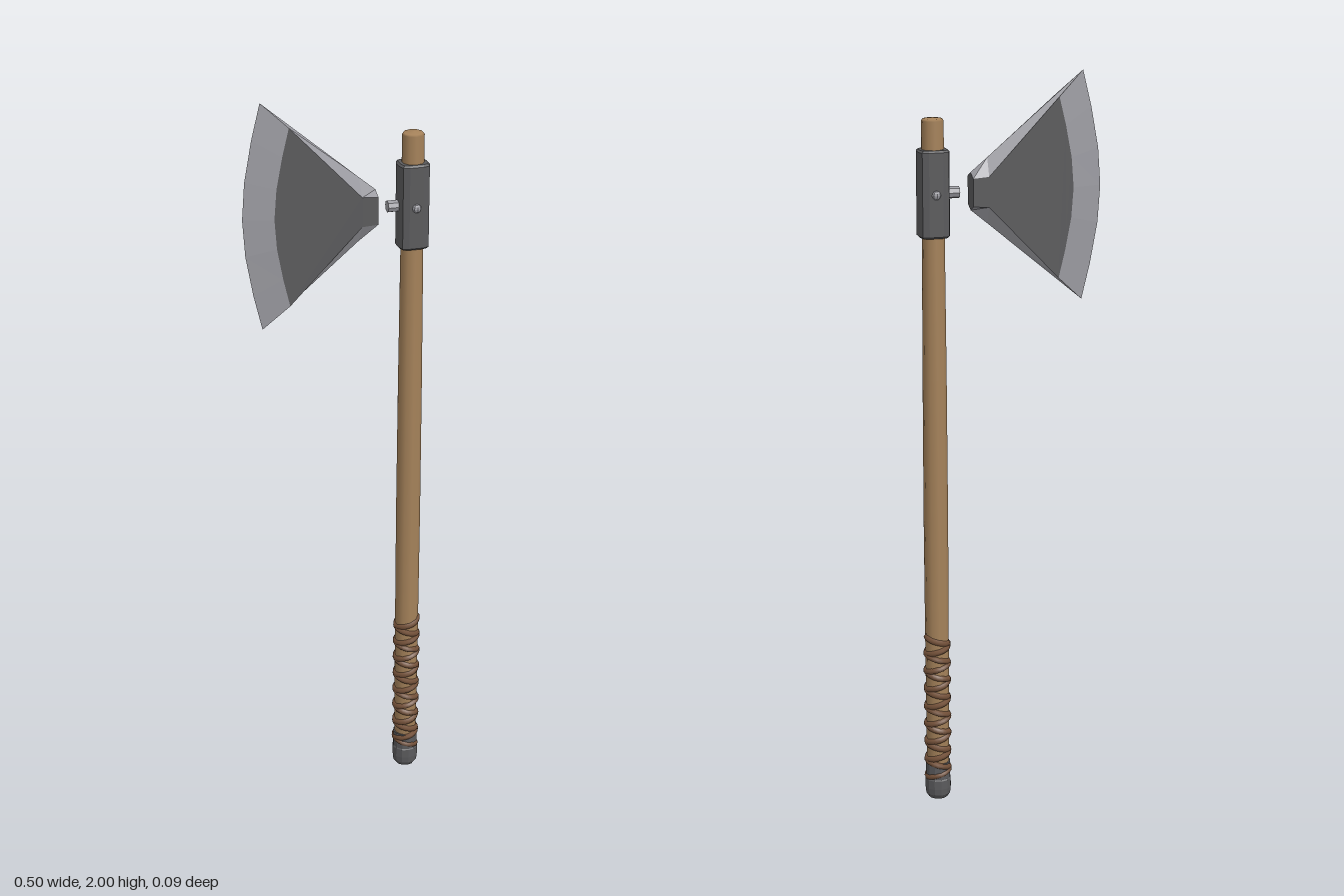
import * as THREE from 'three';

const CX = 0.206;      // handle axis
const HEAD_Y = 1.695;  // centre height of the axe head

const mat = (color, flatShading = false) => new THREE.MeshStandardMaterial({ color, flatShading });
const wood = mat(0xa5825a);
const leather = mat(0x75523a);
const iron = mat(0x5a5a5c, true);
const steel = mat(0x9c9ca2, true);

function add(parent, name, geometry, material, x = 0, y = 0, z = 0) {
  const mesh = new THREE.Mesh(geometry, material);
  mesh.name = name;
  mesh.position.set(x, y, z);
  parent.add(mesh);
  return mesh;
}

const lathe = (profile, sides) =>
  new THREE.LatheGeometry(profile.map(([r, y]) => new THREE.Vector2(r, y)), sides);

// Geometry from a list of quads, each [a, b, c, d] counter-clockwise
function quadGeometry(quads) {
  const pos = [];
  for (const [a, b, c, d] of quads) pos.push(...a, ...b, ...c, ...a, ...c, ...d);
  const geometry = new THREE.BufferGeometry();
  geometry.setAttribute('position', new THREE.Float32BufferAttribute(pos, 3));
  geometry.computeVertexNormals();
  return geometry;
}

// Blade: outer rim at z = 0, raised cheeks on both sides, bevels between them
function makeBlade() {
  const blade = new THREE.Group();
  blade.name = 'blade';
  // upper half as [x, height above centre], mirrored to the lower half
  const mirror = (pts) => [...pts, ...pts.slice(0, -1).reverse().map(([x, y, z]) => [x, -y, z])];
  const rim = mirror([[0.105, 0.05, 0], [0.06, 0.087, 0], [-0.2, 0.305, 0],
    [-0.223, 0.21, 0], [-0.243, 0.1, 0], [-0.25, 0, 0]]);
  const cheek = mirror([[0.105, 0.037, 0.028], [0.062, 0.04, 0.027], [-0.13, 0.24, 0.02],
    [-0.148, 0.165, 0.02], [-0.164, 0.08, 0.02], [-0.17, 0, 0.02]]);
  const bevels = [], faces = [];
  const n = rim.length;
  for (const s of [1, -1]) {
    const put = (list, quad) => {
      const q = quad.map(([x, y, z]) => [x, y, z * s]);
      list.push(s > 0 ? q : q.reverse());
    };
    for (let i = 0; i < n - 1; i++) put(bevels, [rim[i], rim[i + 1], cheek[i + 1], cheek[i]]);
    for (let i = 0; i < (n - 1) / 2; i++)
      put(faces, [cheek[i], cheek[i + 1], cheek[n - 2 - i], cheek[n - 1 - i]]);
    put(faces, [rim[0], cheek[0], cheek[n - 1], rim[n - 1]]);
  }
  add(blade, 'bladeBevels', quadGeometry(bevels), steel);
  add(blade, 'bladeCheeks', quadGeometry(faces), iron);
  blade.position.y = HEAD_Y;
  return blade;
}

// Collar: rounded square sleeve with a small bevel
function collarGeometry() {
  const w = 0.036, d = 0.032, r = 0.018, bevel = 0.005, height = 0.23;
  const shape = new THREE.Shape();
  shape.moveTo(w - r, -d);
  shape.quadraticCurveTo(w, -d, w, -d + r);
  shape.lineTo(w, d - r);
  shape.quadraticCurveTo(w, d, w - r, d);
  shape.lineTo(-w + r, d);
  shape.quadraticCurveTo(-w, d, -w, d - r);
  shape.lineTo(-w, -d + r);
  shape.quadraticCurveTo(-w, -d, -w + r, -d);
  shape.closePath();
  const geometry = new THREE.ExtrudeGeometry(shape, {
    depth: height - 2 * bevel, bevelEnabled: true, bevelSize: bevel,
    bevelThickness: bevel, bevelSegments: 1, curveSegments: 2,
  });
  return geometry.center().rotateX(-Math.PI / 2);
}

// Strap winding up the grip; dir sets the handedness
function strapGeometry(dir) {
  const turns = 8, bottom = 0.06, top = 0.475, steps = turns * 12, points = [];
  for (let i = 0; i <= steps; i++) {
    const t = i / steps, a = dir * t * turns * Math.PI * 2;
    points.push(new THREE.Vector3(Math.cos(a) * 0.029, bottom + (top - bottom) * t, Math.sin(a) * 0.029));
  }
  return new THREE.TubeGeometry(new THREE.CatmullRomCurve3(points), steps * 2, 0.009, 6);
}

export function createModel() {
  const model = new THREE.Group();
  model.name = 'axe';

  // Shaft and butt cap
  add(model, 'handle', lathe([[0, 0.02], [0.03, 0.02], [0.032, 0.4], [0.033, 0.8], [0.032, 1.2],
    [0.03, 1.55], [0.029, 1.884], [0.026, 1.889], [0, 1.892]], 10), wood, CX);
  add(model, 'buttCap', lathe([[0, 0], [0.026, 0], [0.034, 0.012], [0.036, 0.03], [0.036, 0.055],
    [0.034, 0.058], [0.034, 0.105], [0, 0.105]], 12), iron, CX);

  // Crossed grip straps
  for (const dir of [1, -1]) add(model, 'gripStrap', strapGeometry(dir), leather, CX);

  // Head
  add(model, 'collar', collarGeometry(), iron, CX, HEAD_Y);
  for (const s of [1, -1]) {
    const rivet = add(model, 'rivet', new THREE.SphereGeometry(0.012, 8, 6), steel, CX, HEAD_Y, s * 0.037);
    rivet.scale.z = 0.85;
  }
  add(model, 'stub', new THREE.CylinderGeometry(0.016, 0.016, 0.04, 8).rotateZ(Math.PI / 2),
    steel, 0.157, HEAD_Y);
  model.add(makeBlade());
  return model;
}
